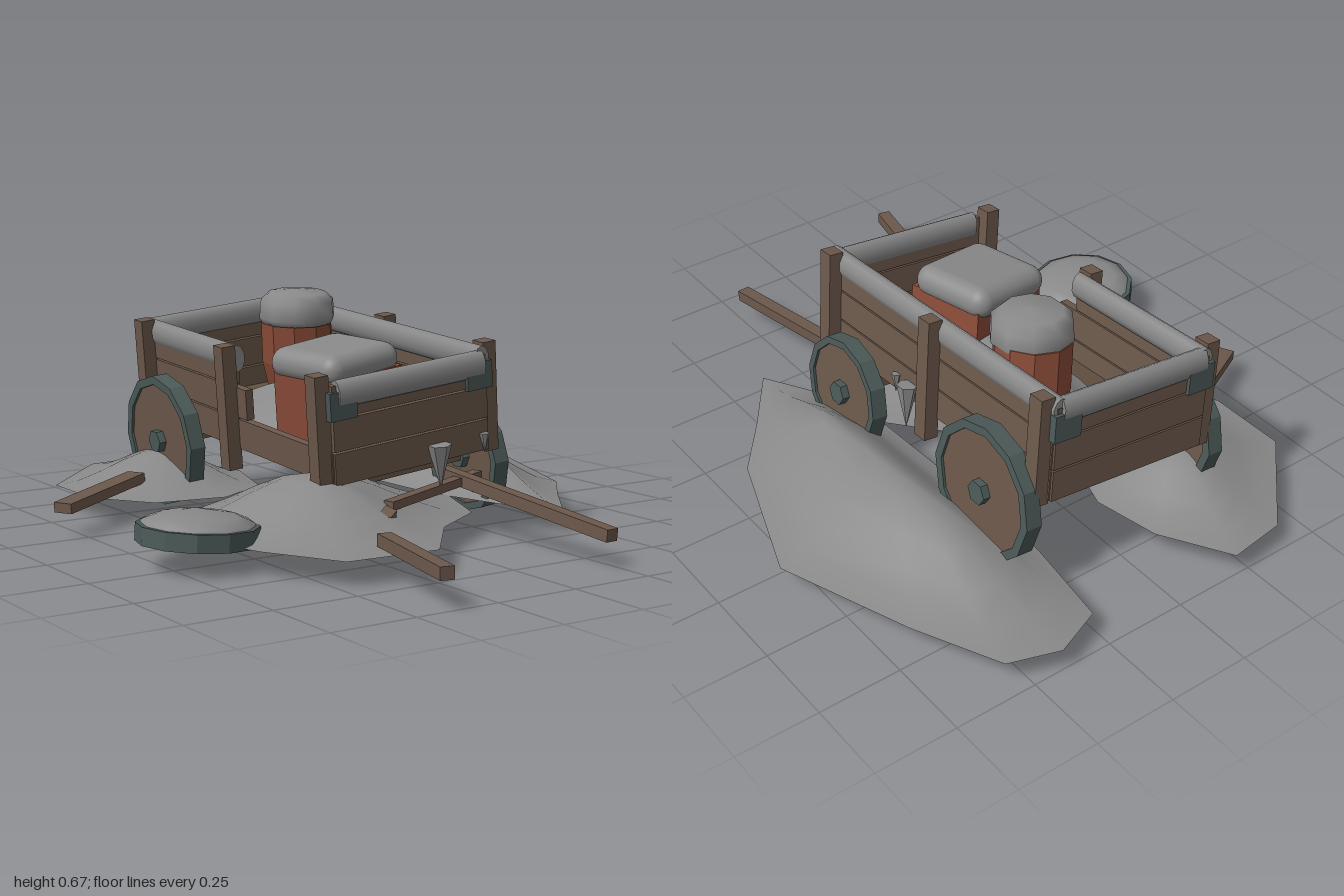
import * as THREE from 'three';
import { RoundedBoxGeometry } from 'three/addons/geometries/RoundedBoxGeometry.js';

const mat = (name, color) => Object.assign(new THREE.MeshStandardMaterial({ color }), { name });

export function createModel() {
  const wood = mat('wood', 0x6c584b);
  const darkWood = mat('dark wood', 0x61503f);
  const iron = mat('iron', 0x4b5a58);
  const snow = mat('snow', 0x89898a);
  snow.side = THREE.DoubleSide;
  const clay = mat('red wood', 0x8a4b38);

  const root = new THREE.Group();
  root.name = 'snowedInCart';
  const cart = new THREE.Group();
  cart.name = 'cart';
  cart.position.set(-0.01, 0.25, -0.215);
  cart.rotation.set(0.07, 0, 0.105);
  root.add(cart);

  const add = (parent, name, geo, material, x = 0, y = 0, z = 0) => {
    const m = new THREE.Mesh(geo, material);
    m.name = name;
    m.position.set(x, y, z);
    parent.add(m);
    return m;
  };
  const box = (parent, name, material, w, h, d, x, y, z) =>
    add(parent, name, new THREE.BoxGeometry(w, h, d), material, x, y, z);
  const faceted = (geo) => {
    const g = geo.toNonIndexed();
    g.computeVertexNormals();
    return g;
  };
  const lathe = (pts, sides) =>
    new THREE.LatheGeometry(pts.map(([r, y]) => new THREE.Vector2(r, y)), sides);

  // square timber running between two points
  const beam = (parent, name, a, b, w, h) => {
    const p = new THREE.Vector3(...a), q = new THREE.Vector3(...b);
    const m = box(parent, name, wood, w, h, p.distanceTo(q), 0, 0, 0);
    m.position.copy(p).lerp(q, 0.5);
    m.lookAt(q);
    return m;
  };

  // snow mound: outline rings shrinking towards a peak, or a ridge along z
  const mound = (parent, name, outline, base, [px, height, pz], ridge = 0) => {
    const n = outline.length, rings = 5, pos = [], idx = [];
    for (let i = 0; i < rings; i++) {
      const t = i / rings;
      for (const [x, z] of outline) {
        const target = pz + (z - pz) * ridge;
        pos.push(x + (px - x) * t, base + height * t * t * (3 - 2 * t), z + (target - z) * t);
      }
    }
    pos.push(px, base + height, pz);
    for (let i = 0; i < rings; i++) {
      for (let j = 0; j < n; j++) {
        const a = i * n + j, b = i * n + (j + 1) % n;
        if (i === rings - 1) idx.push(a, b, rings * n);
        else idx.push(a, b, b + n, a, b + n, a + n);
      }
    }
    const g = new THREE.BufferGeometry();
    g.setAttribute('position', new THREE.Float32BufferAttribute(pos, 3));
    g.setIndex(idx);
    g.computeVertexNormals();
    return add(parent, name, g, snow);
  };

  // drifts around the cart
  mound(root, 'rightDrift', [[0.41, -1], [0.26, -0.94], [0.22, -0.65], [0.23, -0.2], [0.24, 0.05],
    [0.31, 0.3], [0.41, 0.47], [0.55, 0.28], [0.68, 0.12], [0.83, -0.3], [0.68, -0.7], [0.56, -0.95]],
  0.07, [0.44, 0.13, -0.15], 0.25);
  mound(root, 'rearDrift', [[-0.2, -1], [-0.38, -0.975], [-0.64, -0.7], [-0.64, -0.45], [-0.52, -0.28],
    [-0.3, -0.24], [-0.12, -0.35], [-0.04, -0.6], [-0.08, -0.8]], 0.07, [-0.32, 0.1, -0.6]);
  mound(root, 'frontDrift', [[-0.25, -0.14], [-0.52, -0.16], [-0.69, 0.05], [-0.7, 0.15], [-0.6, 0.45],
    [-0.48, 0.67], [-0.2, 0.69], [-0.02, 0.47], [0.17, 0.35], [0.27, 0.1], [0.1, -0.1]],
  0.07, [-0.28, 0.14, 0.2]);

  // cart bed: floor and three planks per wall
  box(cart, 'floor', darkWood, 0.52, 0.03, 1.05, 0, 0.015, 0);
  for (let i = 0; i < 3; i++) {
    const y = 0.047 + i * 0.096;
    for (const s of [-1, 1]) box(cart, 'endPlank', wood, 0.53, 0.091, 0.025, 0, y, s * 0.52);
    box(cart, 'sidePlank', wood, 0.025, 0.091, 1.05, 0.257, y, 0);
    // one side has lost the front half of its upper planks
    const len = [1.05, 0.6, 0.53][i];
    box(cart, 'brokenSidePlank', wood, 0.025, 0.091, len, -0.257, y, -0.525 + len / 2);
  }
  for (const s of [-1, 1]) {
    for (const z of [-0.495, 0, 0.495]) {
      const low = z === 0 ? -0.06 : -0.01;
      box(cart, 'sidePost', wood, 0.045, 0.315 - low, 0.05, s * 0.288, (0.315 + low) / 2, z);
    }
    // iron corner straps
    for (const e of [-1, 1]) {
      box(cart, 'cornerStrap', iron, 0.085, 0.08, 0.014, s * 0.232, 0.228, e * 0.536);
      box(cart, 'cornerStrap', iron, 0.012, 0.08, 0.07, s * 0.272, 0.228, e * 0.508);
    }
  }
  box(cart, 'rearAxle', wood, 0.6, 0.045, 0.05, 0, -0.03, -0.34);
  box(cart, 'frontAxle', wood, 0.42, 0.04, 0.05, 0.1, -0.055, 0.34);

  // snow lying along the wall tops
  const roll = (len, x, y, z, across) => {
    const g = new THREE.CylinderGeometry(1, 1, len, 10);
    g.rotateX(Math.PI / 2);
    g.scale(0.026, 0.041, 1);
    if (across) g.rotateY(Math.PI / 2);
    add(cart, 'railSnow', g, snow, x, y, z);
  };
  roll(1.06, 0.252, 0.27, 0);
  roll(0.54, -0.252, 0.27, -0.26);
  roll(0.5, 0, 0.258, 0.525, true);
  roll(0.5, 0, 0.27, -0.52, true);

  // cargo
  mound(cart, 'bedSnow', [[-0.12, -0.48], [-0.18, -0.1], [-0.18, 0.2], [-0.1, 0.43], [0, 0.48],
    [0.1, 0.4], [0.23, 0.28], [0.24, -0.1], [0.22, -0.3], [0.05, -0.46]], 0.034, [0.02, 0.13, 0.02]);
  const cask = new THREE.Group();
  cask.name = 'cask';
  cask.position.set(0.08, 0, -0.21);
  cart.add(cask);
  add(cask, 'caskBody', faceted(lathe([[0, 0.03], [0.09, 0.03], [0.115, 0.17], [0.112, 0.31], [0, 0.31]], 10)), clay, 0.022, 0, -0.012);
  add(cask, 'caskSnow', lathe([[0, 0.29], [0.11, 0.29], [0.12, 0.308], [0.117, 0.36], [0.09, 0.385], [0, 0.395]], 10), snow)
    .rotation.z = -0.06;
  const crate = new THREE.Group();
  crate.name = 'crate';
  crate.position.set(-0.035, 0, 0.2);
  crate.rotation.y = 0.19;
  cart.add(crate);
  box(crate, 'crateBody', clay, 0.27, 0.21, 0.26, 0, 0.135, 0.012);
  add(crate, 'crateSnow', new RoundedBoxGeometry(0.29, 0.095, 0.28, 4, 0.046), snow, 0, 0.262, 0);

  // wheel with its axis along x
  const wheel = (name, r, x, y, z, tilt) => {
    const g = new THREE.Group();
    g.name = name;
    g.position.set(x, y, z);
    g.rotation.set(0, 0, tilt);
    const c = r * 0.87;
    const rim = lathe([[c, -0.025], [r, -0.025], [r, 0.025], [c, 0.025], [c, -0.025]], 12);
    add(g, 'rim', faceted(rim.rotateZ(Math.PI / 2)), iron);
    const disc = new THREE.CylinderGeometry(c + 0.004, c + 0.004, 0.034, 12);
    add(g, 'disc', faceted(disc.rotateZ(Math.PI / 2)), wood);
    const hub = new THREE.CylinderGeometry(0.036, 0.036, 0.08, 6);
    add(g, 'hub', faceted(hub.rotateZ(Math.PI / 2)), iron);
    root.add(g);
    return g;
  };
  wheel('rearWheel', 0.205, 0.315, 0.262, -0.548, 0.09);
  wheel('rearWheel', 0.204, -0.335, 0.206, -0.55, 0.09);
  wheel('frontWheel', 0.17, 0.322, 0.193, 0.125, 0.105);

  // wheel that came off, lying flat under snow
  const fallen = wheel('fallenWheel', 0.168, -0.67, 0.092, 0.24, Math.PI / 2 - 0.06);
  const cap = lathe([[0.16, 0], [0.152, 0.025], [0.11, 0.042], [0.05, 0.05], [0, 0.052]], 12);
  add(fallen, 'wheelSnow', cap.rotateZ(-Math.PI / 2), snow, 0.008);

  // shafts and loose timbers
  beam(root, 'shaft', [0.175, 0.165, 0.2], [0.23, 0.09, 0.88], 0.04, 0.035);
  beam(root, 'shaftBar', [-0.13, 0.125, 0.36], [0.25, 0.16, 0.27], 0.035, 0.025);
  beam(root, 'buriedTimber', [-0.3, 0.1, 0.32], [-0.06, 0.1, 0.2], 0.035, 0.03);
  beam(root, 'brokenShaft', [-0.325, 0.1, 0.615], [-0.405, 0.095, 0.995], 0.04, 0.035);
  beam(root, 'loosePlank', [-0.81, 0.085, -0.295], [-0.48, 0.115, -0.47], 0.06, 0.03);
  box(root, 'splinter', wood, 0.035, 0.03, 0.035, -0.19, 0.118, 0.44).rotation.set(0.4, 0.5, 0.3);

  // icicles under the bed
  for (const [x, z, r, h] of [[0.08, 0.545, 0.036, 0.13], [0.285, 0.1, 0.032, 0.14],
    [0.245, 0.54, 0.015, 0.06], [0.275, 0.17, 0.015, 0.06]]) {
    const g = new THREE.ConeGeometry(r, h, 6).rotateX(Math.PI);
    add(cart, 'icicle', faceted(g), snow, x, 0.055 - h / 2, z);
  }
  return root;
}
